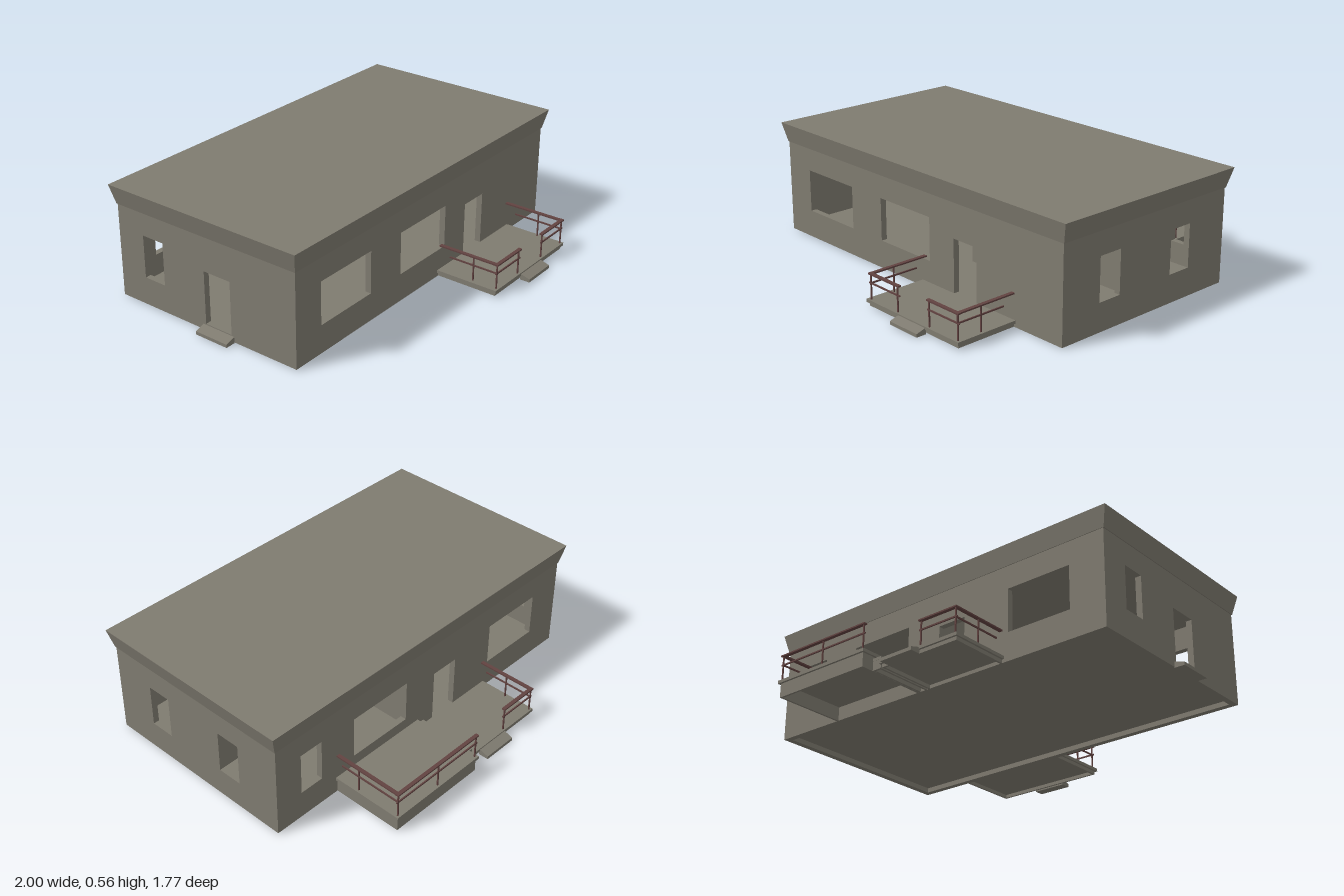
import * as THREE from 'three';

const T = 0.03;      // wall thickness
const BASE = 0.004;  // lower edge of walls and porches
const FLOOR = 0.036; // floor and porch level

export function createModel() {
  const model = new THREE.Group();
  model.name = 'building';
  const plaster = new THREE.MeshStandardMaterial({ name: 'grey plaster', color: 0x7f7b70 });
  const metal = new THREE.MeshStandardMaterial({ name: 'dark red railing', color: 0x624341 });

  const add = (name, geo, mat = plaster, parent = model) => {
    const mesh = new THREE.Mesh(geo, mat);
    mesh.name = name;
    parent.add(mesh);
    return mesh;
  };
  const group = name => {
    const g = new THREE.Group();
    g.name = name;
    model.add(g);
    return g;
  };
  // Box given by its limits on each axis
  const box = (name, x0, x1, y0, y1, z0, z1, mat, parent) => {
    const geo = new THREE.BoxGeometry(x1 - x0, y1 - y0, z1 - z0);
    geo.translate((x0 + x1) / 2, (y0 + y1) / 2, (z0 + z1) / 2);
    return add(name, geo, mat, parent);
  };
  // Wall with rectangular openings [u0, u1, y0, y1]
  const wall = (name, u0, u1, openings) => {
    const rect = (Type, a, b, c, d) => new Type([[a, c], [b, c], [b, d], [a, d]].map(p => new THREE.Vector2(...p)));
    const shape = rect(THREE.Shape, u0, u1, BASE, 0.467);
    openings.forEach(o => shape.holes.push(rect(THREE.Path, ...o)));
    return add(name, new THREE.ExtrudeGeometry(shape, { depth: T, bevelEnabled: false }));
  };
  const sill = 0.142, head = 0.353, doorHead = 0.297;

  // Outer walls
  wall('frontWall', -0.95, 0.97, [
    [-0.785, -0.44, sill, head], [-0.22, 0.13, sill, head], [0.295, 0.445, FLOOR, doorHead],
  ]).position.z = 0.51 - T;
  wall('backWall', -0.95, 0.97, [
    [0.7, 0.825, sill, head], [0.155, 0.5, sill, head], [-0.185, -0.035, FLOOR, doorHead], [-0.768, -0.435, sill, head],
  ]).position.z = -0.52;
  const sides = [
    ['leftWall', 0.97, [[0.165, 0.29, sill, head], [-0.285, -0.16, sill, head]]],
    ['rightWall', -0.95 + T, [[-0.37, -0.25, sill, head], [-0.005, 0.145, FLOOR, doorHead]]],
  ];
  for (const [name, x, openings] of sides) {
    const side = wall(name, -0.52 + T, 0.51 - T, openings);
    side.rotation.y = -Math.PI / 2;
    side.position.x = x;
  }

  // Raised floor and inner walls
  box('floor', -0.945, 0.965, FLOOR - 0.008, FLOOR, -0.515, 0.505);
  box('innerLongWall', 0.065, 0.095, FLOOR, 0.467, -0.49, 0.195);
  box('innerCrossWall', 0.095, 0.94, FLOOR, 0.467, -0.07, -0.04);

  // Flared roof: the bottom corners are pulled in
  const roof = new THREE.BoxGeometry(2, 0.095, 1);
  const pos = roof.attributes.position;
  for (let i = 0; i < pos.count; i++) {
    const top = pos.getY(i) > 0;
    const right = pos.getX(i) > 0, front = pos.getZ(i) > 0;
    const x = right ? (top ? 1 : 0.974) : (top ? -0.978 : -0.954);
    const z = front ? (top ? 0.533 : 0.513) : (top ? -0.543 : -0.523);
    pos.setXYZ(i, x, top ? 0.563 : 0.467, z);
  }
  roof.computeVertexNormals();
  add('roof', roof);

  // Entrance step with a sloped top
  const step = (name, x, z, turn) => {
    const shape = new THREE.Shape();
    shape.moveTo(0, 0).lineTo(0.05, 0).lineTo(0.05, 0.016).lineTo(0, 0.031).closePath();
    const geo = new THREE.ExtrudeGeometry(shape, { depth: 0.18, bevelEnabled: false });
    geo.translate(0, 0, -0.09);
    const mesh = add(name, geo);
    mesh.position.set(x, 0, z);
    mesh.rotation.y = turn;
  };
  step('frontStep', 0.39, 0.83, -Math.PI / 2);
  step('backStep', -0.11, -0.82, Math.PI / 2);
  step('sideStep', -0.95, 0.07, Math.PI);

  // Porch: hollow base of thin walls under a slightly overhanging slab
  const porch = (name, x0, x1, zHouse, zOuter, top, lip) => {
    const g = group(name);
    const out = Math.sign(zOuter), w = 0.01, under = top - 0.015;
    const zEdge = zOuter - out * lip, zIn = zEdge - out * w;
    const span = (a, b) => [Math.min(a, b), Math.max(a, b)];
    box('porchSlab', x0, x1, under, top, ...span(zHouse, zOuter), plaster, g);
    box('porchFace', x0 + lip, x1 - lip, BASE, under, ...span(zIn, zEdge), plaster, g);
    for (const x of [x0 + lip, x1 - lip - w]) {
      box('porchSide', x, x + w, BASE, under, ...span(zHouse, zIn), plaster, g);
    }
  };
  porch('frontPorch', 0.078, 0.692, 0.51, 0.834, FLOOR, 0.01);
  porch('backLowPorch', -0.412, 0.033, -0.52, -0.824, FLOOR, 0.01);
  porch('backHighPorch', 0.07, 0.614, -0.52, -0.886, 0.087, 0.01);
  porch('backPorchStep', 0.03, 0.08, -0.52, -0.815, 0.062, 0.001);

  // Railing run along x or z, with handrail, middle rail and posts
  const railing = (name, axis, a, b, fixed, deck, posts, midA = a, midB = b) => {
    const g = group(name);
    const bar = (part, s, e, y0, y1, w) => axis === 'x'
      ? box(part, s, e, y0, y1, fixed - w, fixed + w, metal, g)
      : box(part, fixed - w, fixed + w, y0, y1, s, e, metal, g);
    bar('handrail', a, b, deck + 0.12, deck + 0.127, 0.009);
    bar('middleRail', midA, midB, deck + 0.075, deck + 0.082, 0.003);
    posts.forEach(p => bar('post', p - 0.003, p + 0.003, deck, deck + 0.12, 0.003));
  };
  // Front porch railings
  railing('frontRailingRight', 'x', 0.09, 0.3, 0.822, FLOOR, [0.1, 0.285]);
  railing('frontRailingLeft', 'x', 0.485, 0.688, 0.822, FLOOR, [0.495, 0.677]);
  for (const x of [0.1, 0.677]) railing('frontSideRailing', 'z', 0.51, 0.831, x, FLOOR, [0.695], 0.565, 0.82);
  // Back porch railings
  railing('backLowRailing', 'x', -0.405, -0.19, -0.813, FLOOR, [-0.396, -0.2]);
  railing('backLowSideRailing', 'z', -0.822, -0.52, -0.396, FLOOR, [-0.67], -0.81, -0.55);
  railing('backHighRailing', 'x', 0.075, 0.61, -0.873, 0.087, [0.085, 0.34, 0.6]);
  railing('backHighSideRailing', 'z', -0.882, -0.52, 0.6, 0.087, [-0.645], -0.87, -0.545);

  return model;
}
